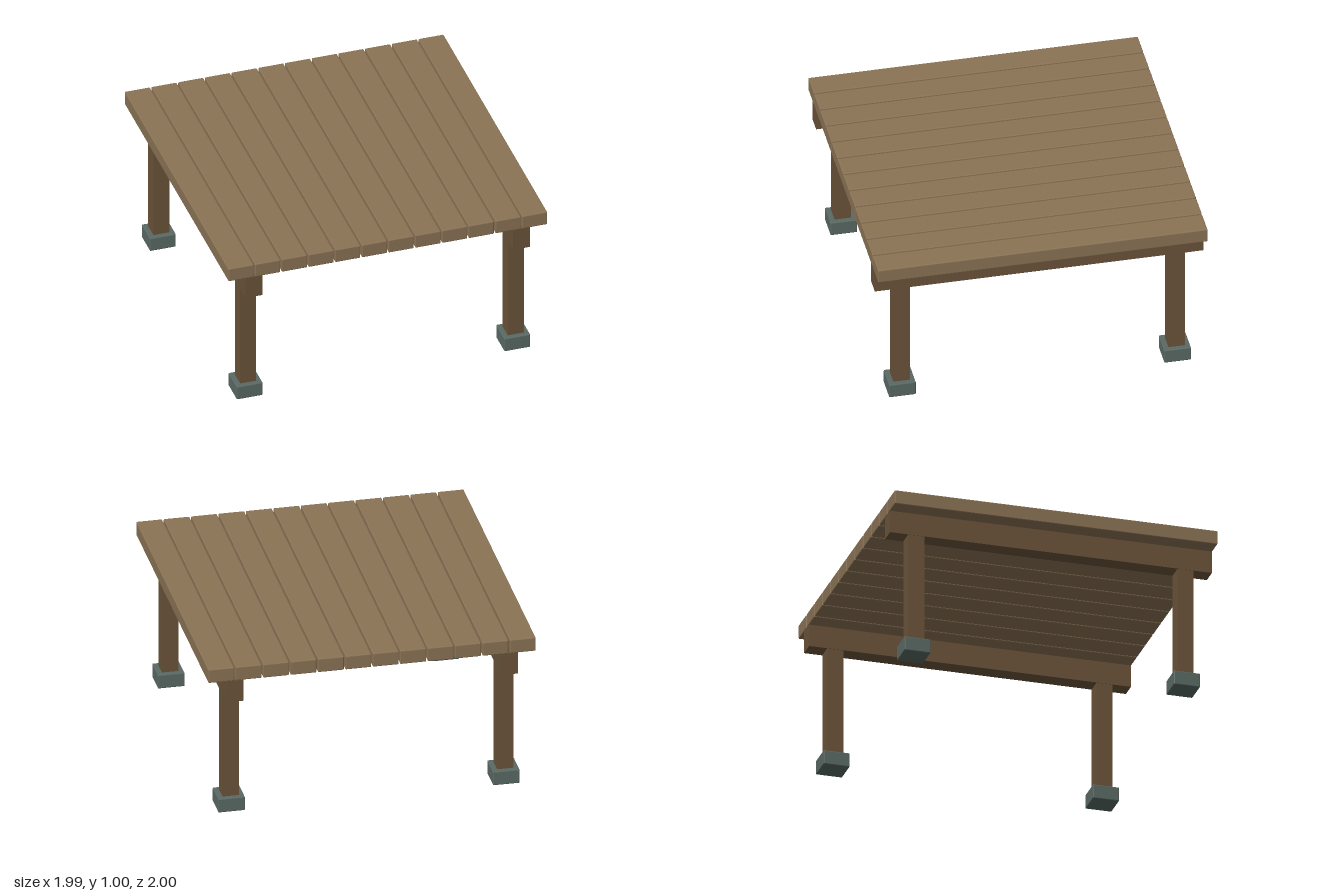
import * as THREE from 'three';
import { RoundedBoxGeometry } from 'three/addons/geometries/RoundedBoxGeometry.js';

const material = (color) => new THREE.MeshStandardMaterial({ color, flatShading: true });

export function createModel() {
  const model = new THREE.Group();
  model.name = 'deck';
  const plankWood = material(0x8b7355);
  const frameWood = material(0x6b543a);
  const stone = material(0x5a6a65);

  const add = (name, geometry, mat, x, y, z) => {
    const mesh = new THREE.Mesh(geometry, mat);
    mesh.name = name;
    mesh.position.set(x, y, z);
    model.add(mesh);
  };

  // Deck boards with eased edges, running front to back
  const count = 12;
  const pitch = 2 / count;
  const plank = new RoundedBoxGeometry(0.157, 0.088, 2, 1, 0.005);
  for (let i = 0; i < count; i++) {
    add('plank', plank, plankWood, (i - (count - 1) / 2) * pitch, 0.956, 0);
  }

  // Side beams, posts and footings
  const offset = 0.835;
  const beam = new THREE.BoxGeometry(0.105, 0.14, 1.995);
  const post = new THREE.BoxGeometry(0.1, 0.76, 0.1);
  const footing = new RoundedBoxGeometry(0.162, 0.09, 0.162, 1, 0.005);
  for (const sx of [-1, 1]) {
    add('beam', beam, frameWood, sx * offset, 0.842, 0);
    for (const sz of [-1, 1]) {
      add('post', post, frameWood, sx * offset, 0.4, sz * offset);
      add('footing', footing, stone, sx * offset, 0.045, sz * offset);
    }
  }
  return model;
}
